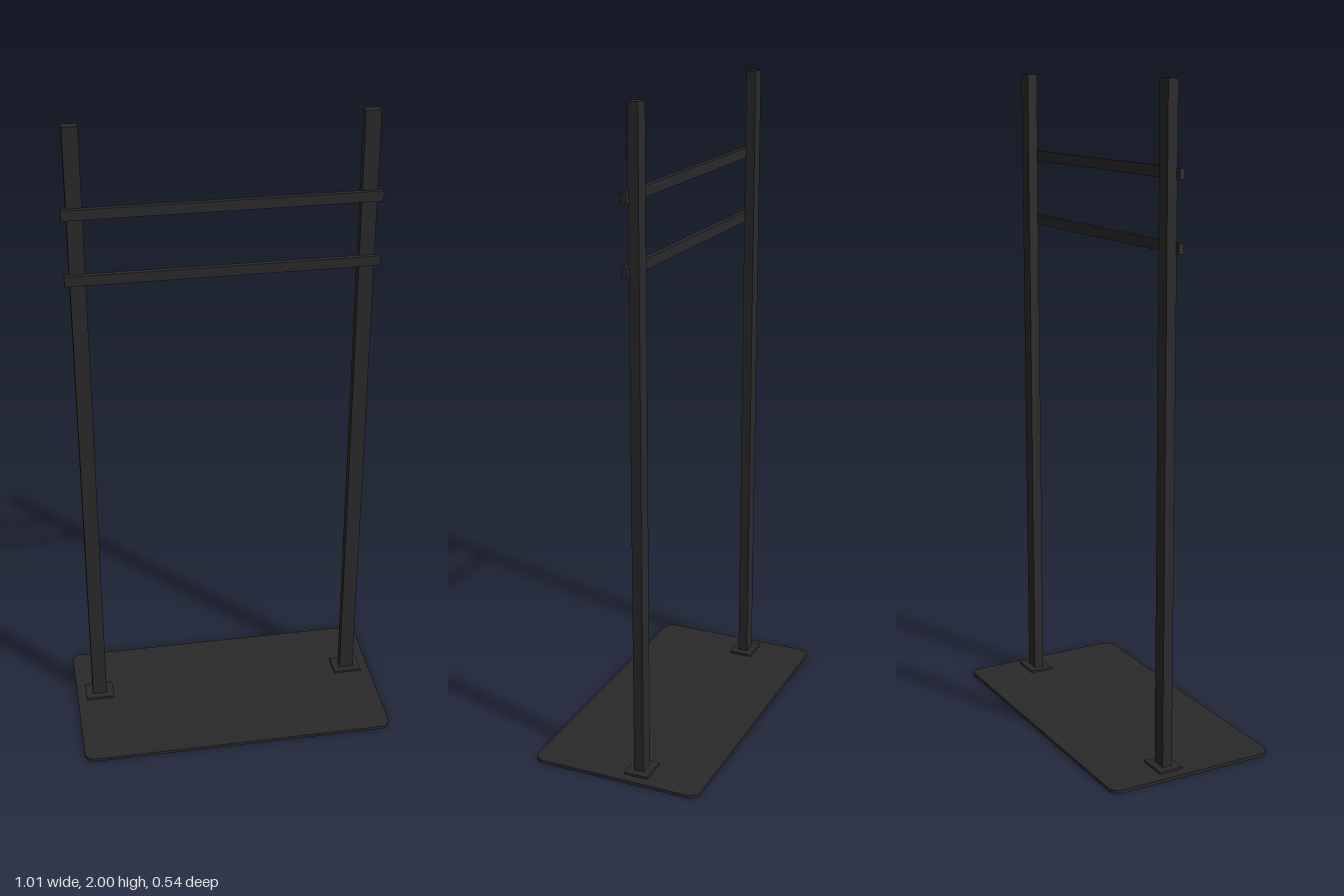
import * as THREE from 'three';

export function createModel() {
  const model = new THREE.Group();
  model.name = 'clothesRack';
  const blackSteel = new THREE.MeshStandardMaterial({ color: 0x2a2a2a });
  blackSteel.name = 'black steel';

  const add = (name, geometry, x, y, z) => {
    const mesh = new THREE.Mesh(geometry, blackSteel);
    mesh.name = name;
    mesh.position.set(x, y, z);
    model.add(mesh);
  };

  // Thin floor plate with rounded corners
  const w = 0.503, d = 0.27, r = 0.032, thick = 0.01;
  const outline = new THREE.Shape();
  outline.absarc(w - r, d - r, r, 0, Math.PI / 2);
  outline.absarc(-w + r, d - r, r, Math.PI / 2, Math.PI);
  outline.absarc(-w + r, -d + r, r, Math.PI, Math.PI * 1.5);
  outline.absarc(w - r, -d + r, r, Math.PI * 1.5, Math.PI * 2);
  outline.closePath();
  const plate = new THREE.ExtrudeGeometry(outline, { depth: thick, bevelEnabled: false, curveSegments: 8 });
  plate.rotateX(-Math.PI / 2);
  add('basePlate', plate, 0, 0, 0);

  // Uprights, each on a small mounting foot
  const postZ = -0.06, footHeight = 0.007;
  for (const [side, sign] of [['left', 1], ['right', -1]]) {
    const x = sign * 0.427;
    add(side + 'Foot', new THREE.BoxGeometry(0.092, footHeight, 0.075), x, thick + footHeight / 2, postZ);
    const bottom = thick + footHeight;
    add(side + 'Post', new THREE.BoxGeometry(0.046, 2 - bottom, 0.031), x, (2 + bottom) / 2, postZ);
  }

  // Flat rails fixed across the front of the uprights
  for (const [name, y] of [['upperRail', 1.748], ['lowerRail', 1.546]]) {
    add(name, new THREE.BoxGeometry(0.932, 0.031, 0.016), 0, y, -0.039);
  }
  return model;
}
